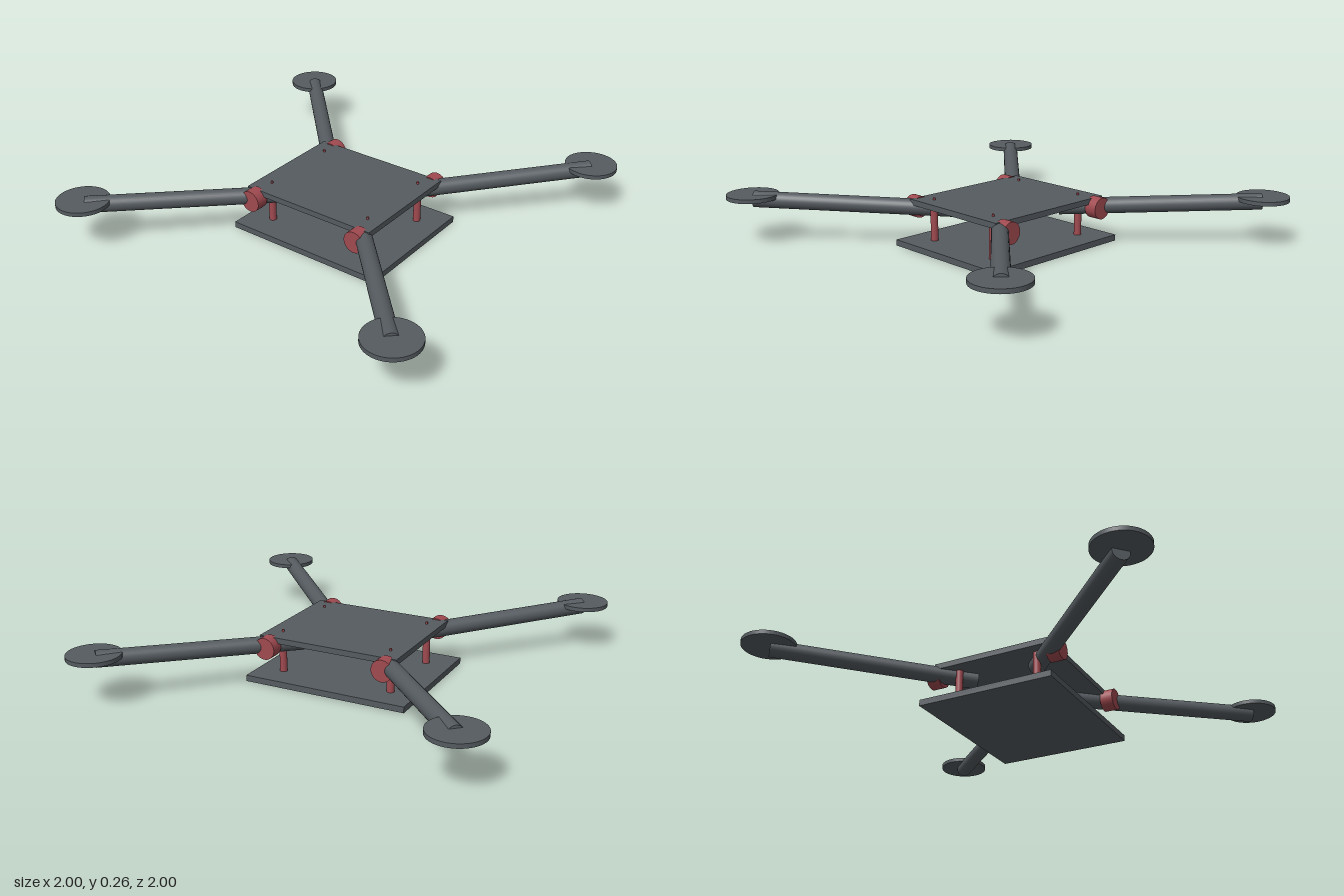
import * as THREE from 'three';

export function createModel() {
  const model = new THREE.Group();
  model.name = 'quadcopterFrame';
  const dark = new THREE.MeshStandardMaterial({ color: 0x555b60 });
  const red = new THREE.MeshStandardMaterial({ color: 0xa04a50 });

  const add = (name, geometry, material, x, y, z) => {
    const mesh = new THREE.Mesh(geometry, material);
    mesh.name = name;
    mesh.position.set(x, y, z);
    model.add(mesh);
    return mesh;
  };

  // Two flat body plates
  add('bottomPlate', new THREE.BoxGeometry(0.83, 0.03, 0.682), dark, 0, 0.015, 0);
  add('topPlate', new THREE.BoxGeometry(0.714, 0.028, 0.6), dark, 0, 0.217, 0);

  // Shared shapes for the four corners
  const inner = new THREE.Vector3(0.2, 0.18, 0.16);
  const outer = new THREE.Vector3(0.868, 0.217, 0.87);
  const armGeo = new THREE.CylinderGeometry(0.04, 0.04, inner.distanceTo(outer), 32);
  const discGeo = new THREE.CylinderGeometry(0.127, 0.127, 0.02, 48);
  const clampGeo = new THREE.CylinderGeometry(0.053, 0.053, 0.064, 32).rotateX(Math.PI / 2);
  const postGeo = new THREE.CylinderGeometry(0.018, 0.018, 0.18, 24);
  const screwGeo = new THREE.CylinderGeometry(0.006, 0.006, 0.05, 12);
  const up = new THREE.Vector3(0, 1, 0);

  for (const sx of [-1, 1]) {
    for (const sz of [-1, 1]) {
      const name = (part) => `${sz > 0 ? 'front' : 'back'}${sx > 0 ? 'Left' : 'Right'}${part}`;
      const mirror = new THREE.Vector3(sx, 1, sz);
      const a = inner.clone().multiply(mirror);
      const b = outer.clone().multiply(mirror);

      // Slightly rising tube arm with a motor disc at its tip
      const mid = a.clone().lerp(b, 0.5);
      const arm = add(name('Arm'), armGeo, dark, mid.x, mid.y, mid.z);
      arm.quaternion.setFromUnitVectors(up, b.clone().sub(a).normalize());
      add(name('MotorDisc'), discGeo, dark, sx * 0.873, 0.234, sz * 0.873);

      // Arm clamp, spacer post and screw tip
      add(name('Clamp'), clampGeo, red, sx * 0.305, 0.184, sz * 0.315);
      add(name('Post'), postGeo, red, sx * 0.286, 0.115, sz * 0.206);
      add(name('Screw'), screwGeo, red, sx * 0.284, 0.217, sz * 0.206);
    }
  }
  return model;
}
